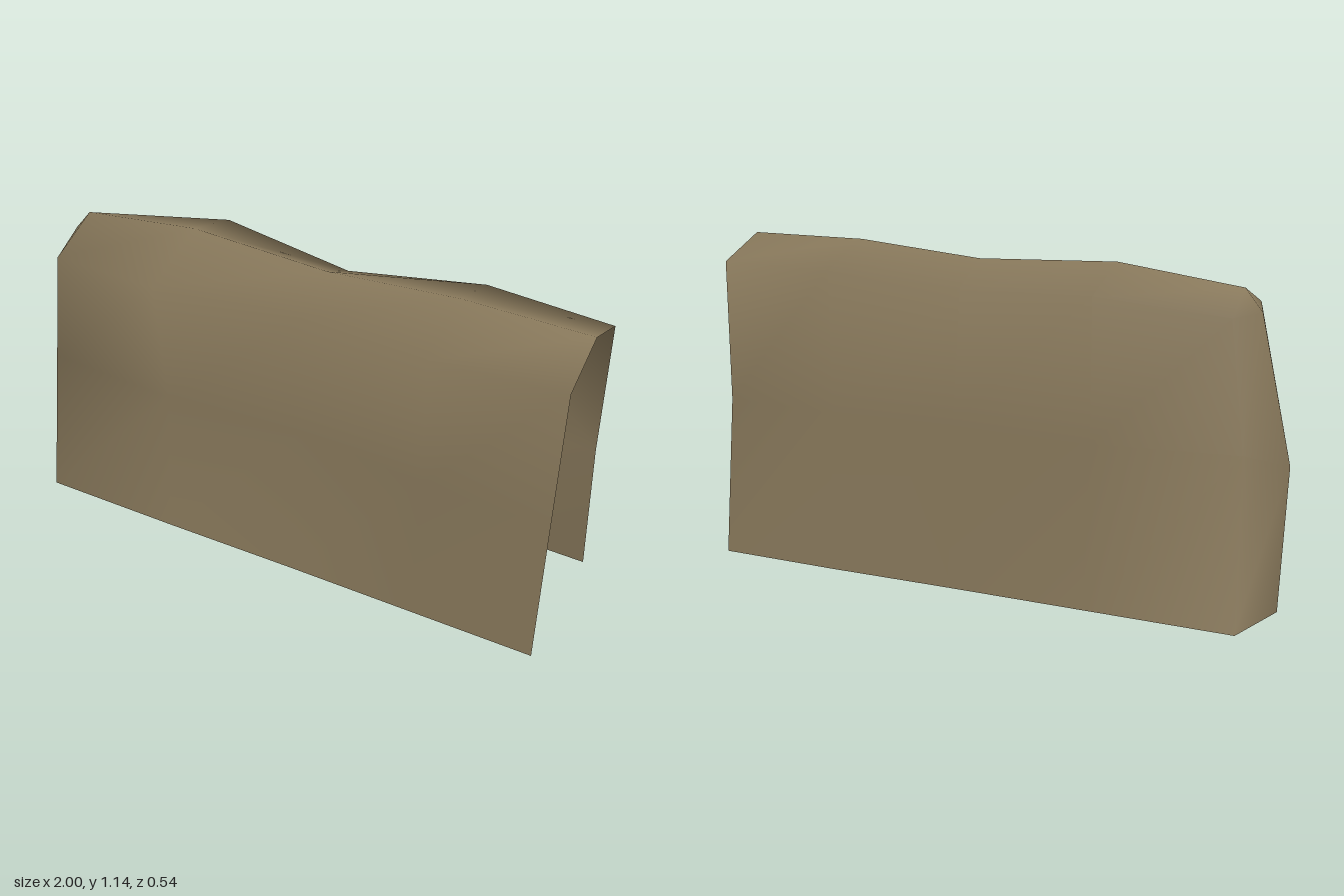
import * as THREE from 'three';

// Draped cover: an open shell lofted through cross-sections, open below and at +x.
export function createModel() {
  const cloth = new THREE.MeshStandardMaterial({ color: 0x8b7b5d, side: THREE.DoubleSide });
  cloth.name = 'khaki cloth';

  // x, ridge y, shoulder y, then z of front base, mid, shoulder and back shoulder, mid, base
  const sections = [
    [1.0, 1.14, 1.06, 0.24, 0.22, 0.2, -0.2, -0.2, -0.27],
    [0.56, 1.14, 1.06, 0.245, 0.22, 0.245, -0.23, -0.23, -0.27],
    [0.1, 1.1, 1.02, 0.25, 0.17, 0.165, -0.15, -0.21, -0.26],
    [-0.4, 1.12, 1.04, 0.26, 0.22, 0.27, -0.22, -0.22, -0.255],
    [-0.83, 1.065, 0.99, 0.265, 0.2, 0.2, -0.135, -0.15, -0.25],
  ];
  const positions = [];
  const rings = [];
  const add = (x, y, z) => positions.push(x, y, z) / 3 - 1;
  sections.forEach(([x, ridge, shoulder, f0, f1, f2, b2, b1, b0], i) => {
    // the closed end flares outward toward the hem
    const end = i === sections.length - 1;
    const midX = end ? -0.885 : x, baseX = end ? -0.91 : x;
    rings.push([
      add(baseX, 0, f0), add(midX, 0.56, f1), add(x, shoulder, f2),
      add(x, ridge, 0),
      add(x, shoulder, b2), add(midX, 0.56, b1), add(baseX, 0, b0),
    ]);
  });

  // Centre seam of the closed end, shared by both sides
  const base = add(-0.98, 0, 0), mid = add(-1, 0.5, 0), top = add(-0.89, 0.99, 0);
  rings.push([base, mid, top, top, top, mid, base]);

  // Stitch neighbouring sections, skipping collapsed triangles
  const index = [];
  const tri = (a, b, c) => { if (a !== b && b !== c && c !== a) index.push(a, b, c); };
  for (let i = 0; i < rings.length - 1; i++) {
    for (let j = 0; j < 6; j++) {
      const a = rings[i][j], b = rings[i][j + 1], c = rings[i + 1][j], d = rings[i + 1][j + 1];
      tri(a, b, c);
      tri(b, d, c);
    }
  }
  const geometry = new THREE.BufferGeometry();
  geometry.setAttribute('position', new THREE.Float32BufferAttribute(positions, 3));
  geometry.setIndex(index);
  geometry.computeVertexNormals();

  const cover = new THREE.Mesh(geometry, cloth);
  cover.name = 'clothCover';
  const group = new THREE.Group();
  group.name = 'drapedCover';
  group.add(cover);
  return group;
}
